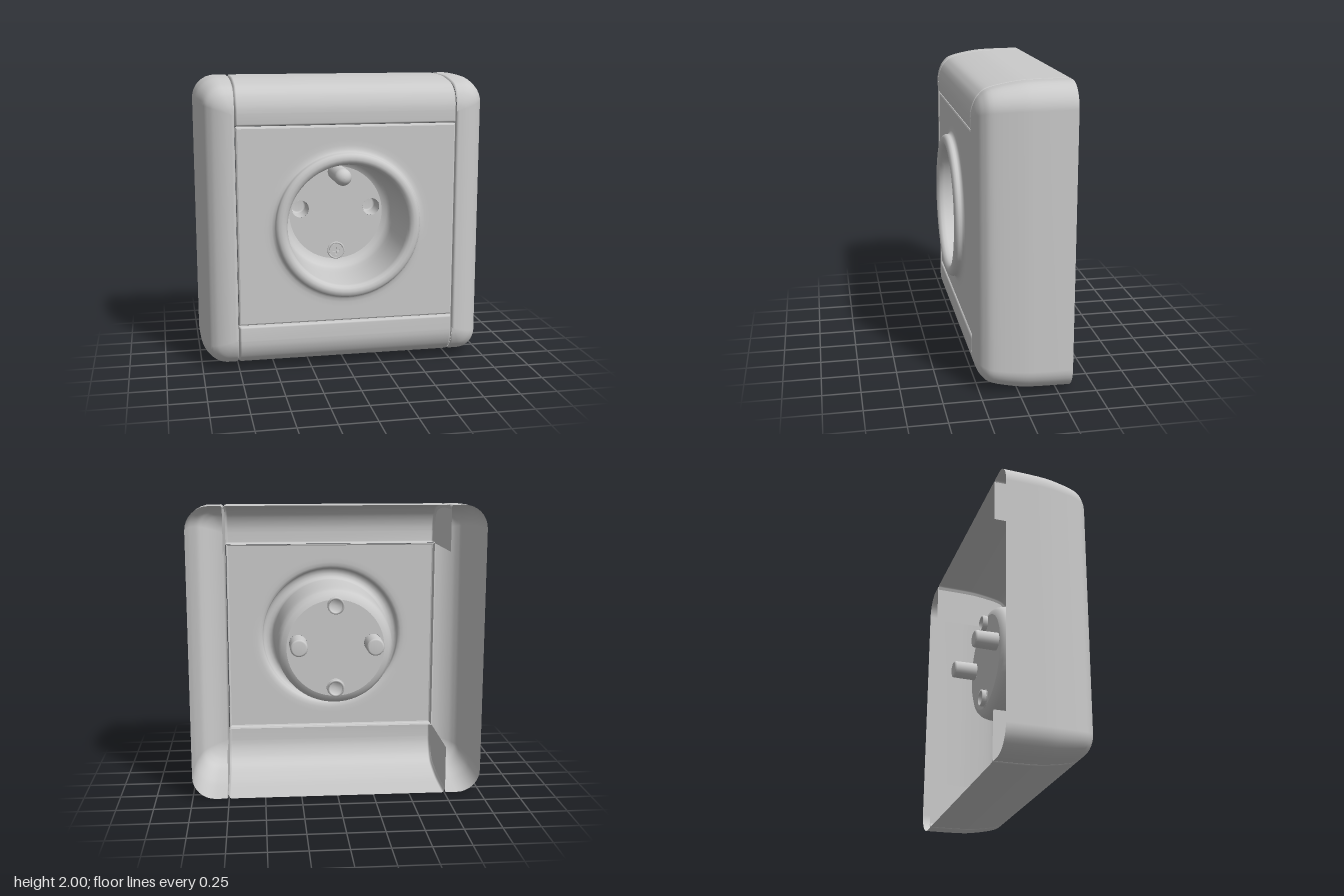
import * as THREE from 'three';

const material = new THREE.MeshStandardMaterial({ color: 0xcccccc, side: THREE.DoubleSide });
const BACK = -0.34;
const SEAM = 0.755; // x where the side caps meet the middle
const CY = 1.01;    // height of the socket centre

// Rounded shoulder of the housing as (inset from outline, z), back to front
const shoulder = new THREE.SplineCurve([
  [0, BACK], [0.003, -0.13], [0.012, 0], [0.045, 0.165], [0.085, 0.225],
  [0.13, 0.255], [0.18, 0.272], [0.225, 0.277],
].map(([d, z]) => new THREE.Vector2(d, z))).getPoints(28);

function addMesh(parent, name, geometry) {
  const mesh = new THREE.Mesh(geometry, material);
  mesh.name = name;
  parent.add(mesh);
  return mesh;
}

// Surface through rows of [x, y, z] points
function loft(rows, flat = false) {
  const n = rows[0].length;
  const index = [];
  for (let i = 0; i < rows.length - 1; i++) {
    for (let j = 0; j < n - 1; j++) {
      const a = i * n + j, b = a + 1, c = a + n, d = c + 1;
      index.push(a, b, d, a, d, c);
    }
  }
  let g = new THREE.BufferGeometry();
  g.setAttribute('position', new THREE.Float32BufferAttribute(rows.flat(2), 3));
  g.setIndex(index);
  if (flat) g = g.toNonIndexed();
  g.computeVertexNormals();
  return g;
}

// Lathe around the z axis from (radius, z) points
function turned(points, segments = 32) {
  const g = new THREE.LatheGeometry(points.map(([r, z]) => new THREE.Vector2(r, z)), segments);
  return g.rotateX(Math.PI / 2);
}

function circle(r, x = 0, y = 0) {
  return new THREE.Path().absarc(x, y, r, 0, Math.PI * 2, true);
}

// Outline of a side cap at one inset, bottom to top, with rounded outer corners
function capOutline(d, z) {
  const r = Math.max(0.16 - 0.7 * d, 0.005);
  const half = [[SEAM, -1 + d + 0.012, z], [SEAM + 0.004, -1 + d + 0.004, z], [SEAM + 0.012, -1 + d, z]];
  for (let k = 0; k <= 8; k++) {
    const a = (k / 8) * Math.PI / 2;
    half.push([1 - d - r + r * Math.sin(a), -1 + d + r - r * Math.cos(a), z]);
  }
  return [...half, ...half.slice().reverse().map(([x, y, zz]) => [x, -y, zz])];
}

function makeSideCap() {
  const cap = new THREE.Group();
  cap.name = 'sideCap';
  // Outer shell, closed across the front to a softened seam edge
  const rows = shoulder.map((p) => capOutline(p.x, p.y));
  const last = rows[rows.length - 1];
  rows.push(last.map(([x, y, z]) => [Math.min(x, SEAM + 0.012), y, z]));
  rows.push(last.map(([x, y, z]) => [Math.min(x, SEAM + 0.004), y, z - 0.004]));
  rows.push(last.map(([, y, z]) => [SEAM, y, z - 0.012]));
  addMesh(cap, 'capShell', loft(rows));

  // Inner end wall: solid at the corners, a narrow lip along the panel
  const s = new THREE.Shape();
  const edge = shoulder.map((p) => [p.y - 0.004, 0.988 - p.x]);
  s.moveTo(BACK, 0.69);
  edge.forEach(([z, y]) => s.lineTo(z, y));
  edge.slice().reverse().forEach(([z, y]) => s.lineTo(z, -y));
  s.lineTo(BACK, -0.67);
  s.lineTo(0.235, -0.67);
  s.lineTo(0.235, 0.69);
  addMesh(cap, 'capEndWall', new THREE.ShapeGeometry(s).rotateY(-Math.PI / 2).translate(SEAM, 0, 0));
  cap.position.y = 1;
  return cap;
}

// Curved strip above or below the panel, rolled in at its edges
function makeStrip(height) {
  const profile = [
    ...shoulder.map((p) => [p.x, p.y]),
    [height - 0.014, 0.277], [height - 0.005, 0.273], [height, 0.264], [height, 0.235],
  ];
  const stations = [[-SEAM, 0.03], [-0.747, 0.012], [-0.744, 0.004], [-0.736, 0]];
  const all = [...stations, ...stations.slice().reverse().map(([x, i]) => [-x, i])];
  return loft(all.map(([x, inset]) => profile.map(([d, z]) => {
    const t = Math.min(d / 0.2, 1); // inset turns from down to backward around the curve
    return [x, 1 - d - inset * (1 - t), z - inset * t];
  })));
}

function makePanel() {
  const panel = new THREE.Group();
  panel.name = 'frontPanel';
  const w = 0.738, h = 0.666;
  const face = new THREE.Shape([[-w, -h], [w, -h], [w, h], [-w, h]].map(([x, y]) => new THREE.Vector2(x, y)));
  face.holes.push(circle(0.58));
  addMesh(panel, 'panelFace', new THREE.ShapeGeometry(face, 32).translate(0, 0, 0.272));
  // Bevelled edge and return flange
  const rect = (g, z) => [[-1, -1], [1, -1], [1, 1], [-1, 1], [-1, -1]]
    .map(([a, b]) => [a * (w + g), b * (h + g), z]);
  addMesh(panel, 'panelEdge', loft([rect(0.012, 0.225), rect(0.012, 0.258), rect(0.008, 0.268), rect(0, 0.272)], true));
  return panel;
}

function makeSocket() {
  const socket = new THREE.Group();
  socket.name = 'socket';
  // Raised rim running into the deep cup
  addMesh(socket, 'rimAndCup', turned([
    [0.34, -0.165], [0.375, -0.15], [0.395, -0.12], [0.405, -0.08], [0.409, 0], [0.413, 0.15],
    [0.415, 0.29], [0.42, 0.315], [0.433, 0.333], [0.455, 0.341], [0.477, 0.337], [0.492, 0.326],
    [0.498, 0.312], [0.497, 0.298], [0.503, 0.285], [0.52, 0.276], [0.545, 0.272], [0.58, 0.272],
  ], 64));
  const floor = new THREE.Shape().absarc(0, 0, 0.34, 0, Math.PI * 2);
  [-1, 1].forEach((s) => floor.holes.push(circle(0.062, s * 0.26, 0.035)));
  addMesh(socket, 'cupFloor', new THREE.ShapeGeometry(floor, 32).translate(0, 0, -0.165));

  // Contact tubes behind the two holes
  [-1, 1].forEach((s) => {
    const tube = turned([[0, -0.33], [0.046, -0.33], [0.056, -0.325], [0.06, -0.315], [0.062, -0.165]], 24);
    addMesh(socket, 'contactTube', tube.translate(s * 0.26, 0.035, 0));
  });

  // Round-nosed earth pin
  const nose = [];
  for (let k = 0; k <= 8; k++) {
    const a = (k / 8) * Math.PI / 2;
    nose.push([0.06 * Math.cos(a), 0.1 + 0.06 * Math.sin(a)]);
  }
  addMesh(socket, 'earthPin', turned([[0.06, -0.165], ...nose], 24).translate(0, 0.3, 0));

  // Screw head with a cross recess
  const head = new THREE.Shape().absarc(0, 0, 0.05, 0, Math.PI * 2);
  const a = 0.006, b = 0.028;
  head.holes.push(new THREE.Path([[a, a], [a, b], [-a, b], [-a, a], [-b, a], [-b, -a], [-a, -a],
    [-a, -b], [a, -b], [a, -a], [b, -a], [b, a]].map(([x, y]) => new THREE.Vector2(x, y))));
  const headGeometry = new THREE.ExtrudeGeometry(head, { depth: 0.018, bevelEnabled: false, curveSegments: 16 });
  addMesh(socket, 'screwHead', headGeometry.translate(0, -0.28, -0.165));
  addMesh(socket, 'screwCollar', new THREE.TorusGeometry(0.057, 0.007, 8, 32).translate(0, -0.28, -0.163));

  // Hollow stubs behind the pin and the screw
  [0.3, -0.28].forEach((y) => {
    const stub = turned([[0, -0.172], [0.045, -0.172], [0.046, -0.2], [0.058, -0.2], [0.058, -0.165]], 24);
    addMesh(socket, 'rearStub', stub.translate(0, y, 0));
  });
  return socket;
}

export function createModel() {
  const model = new THREE.Group();
  model.name = 'wallSocket';

  [1, -1].forEach((side) => {
    const cap = makeSideCap();
    cap.name = side > 0 ? 'leftCap' : 'rightCap';
    cap.scale.x = side;
    model.add(cap);
  });

  const top = addMesh(model, 'topStrip', makeStrip(0.307));
  top.position.y = 1;
  const bottom = addMesh(model, 'bottomStrip', makeStrip(0.325));
  bottom.position.y = 1;
  bottom.scale.y = -1;

  [makePanel(), makeSocket()].forEach((part) => {
    part.position.y = CY;
    model.add(part);
  });
  return model;
}
